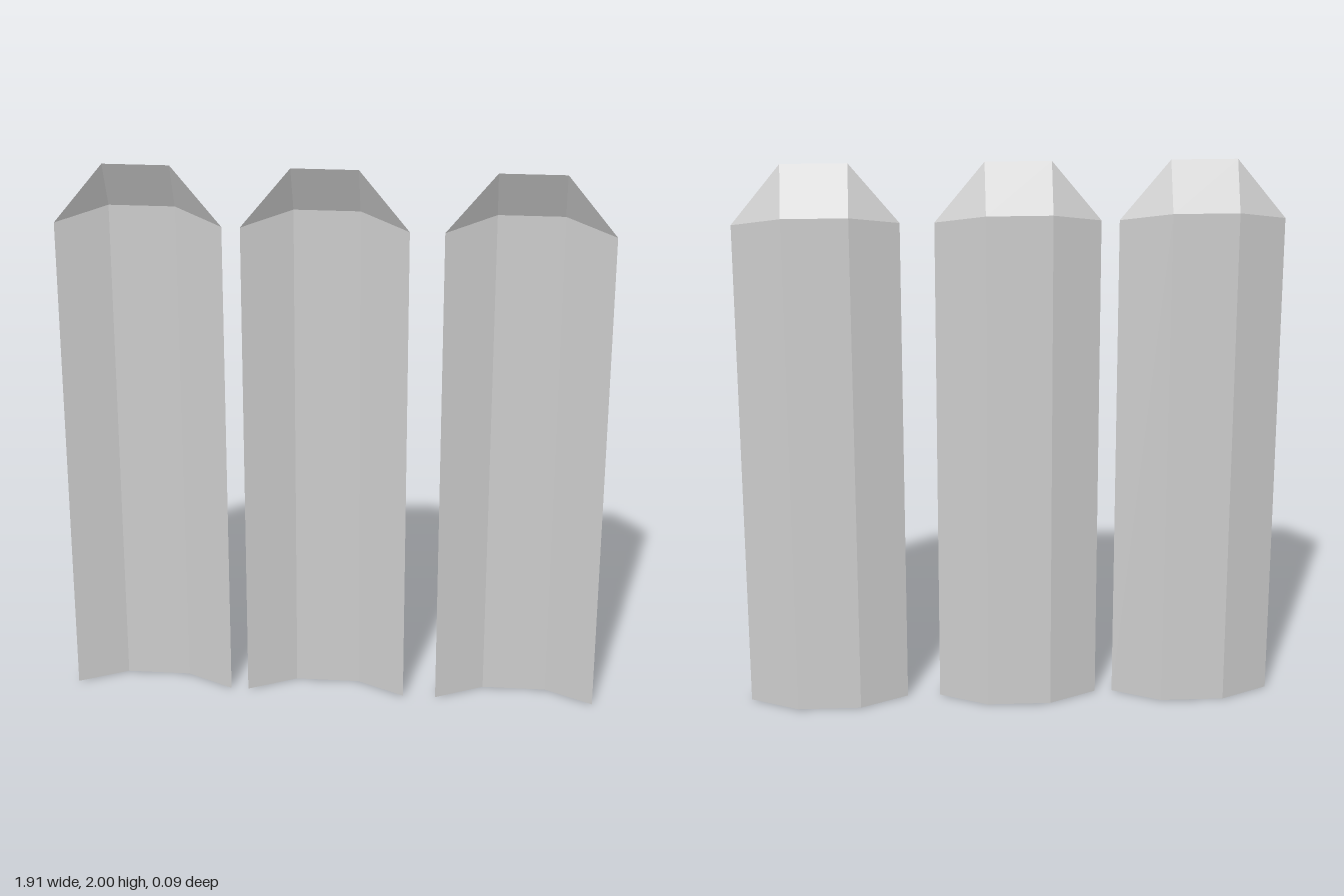
import * as THREE from 'three';

const HALF_WIDTH = 0.288, HALF_FLAT = 0.115, DEPTH = 0.046;
const EDGE_HEIGHT = 1.79, RIDGE_HEIGHT = 1.83, TOP = 2;

// One folded open sheet: a three-facet body with a tip bent forward
function panelGeometry() {
  // Cross-section from left to right as seen from behind: [x, z, shoulder height]
  const section = [
    [HALF_WIDTH, DEPTH, EDGE_HEIGHT],
    [HALF_FLAT, -DEPTH, RIDGE_HEIGHT],
    [-HALF_FLAT, -DEPTH, RIDGE_HEIGHT],
    [-HALF_WIDTH, DEPTH, EDGE_HEIGHT],
  ];
  const points = [];
  for (const [x, z] of section) points.push(x, 0, z);
  for (const [x, z, y] of section) points.push(x, y, z);
  for (const x of [HALF_FLAT, -HALF_FLAT]) points.push(x, TOP, DEPTH - 0.003);

  const index = [];
  // Upright facets
  for (let i = 0; i < 3; i++) index.push(i, i + 1, i + 5, i, i + 5, i + 4);
  // Bent tip: a middle facet and a triangle on each side
  index.push(5, 6, 9, 5, 9, 8, 4, 5, 8, 6, 7, 9);

  const geometry = new THREE.BufferGeometry();
  geometry.setAttribute('position', new THREE.Float32BufferAttribute(points, 3));
  geometry.setIndex(index);
  const flat = geometry.toNonIndexed();
  flat.computeVertexNormals();
  return flat;
}

export function createModel() {
  const group = new THREE.Group();
  group.name = 'foldedPanels';
  const material = new THREE.MeshStandardMaterial({
    color: 0xcccccc, flatShading: true, side: THREE.DoubleSide,
  });
  const geometry = panelGeometry();

  // Three panels in a row, the middle one slightly off centre
  const places = { rightPanel: -0.667, middlePanel: -0.028, leftPanel: 0.667 };
  for (const [name, x] of Object.entries(places)) {
    const panel = new THREE.Mesh(geometry, material);
    panel.name = name;
    panel.position.x = x;
    group.add(panel);
  }
  return group;
}
